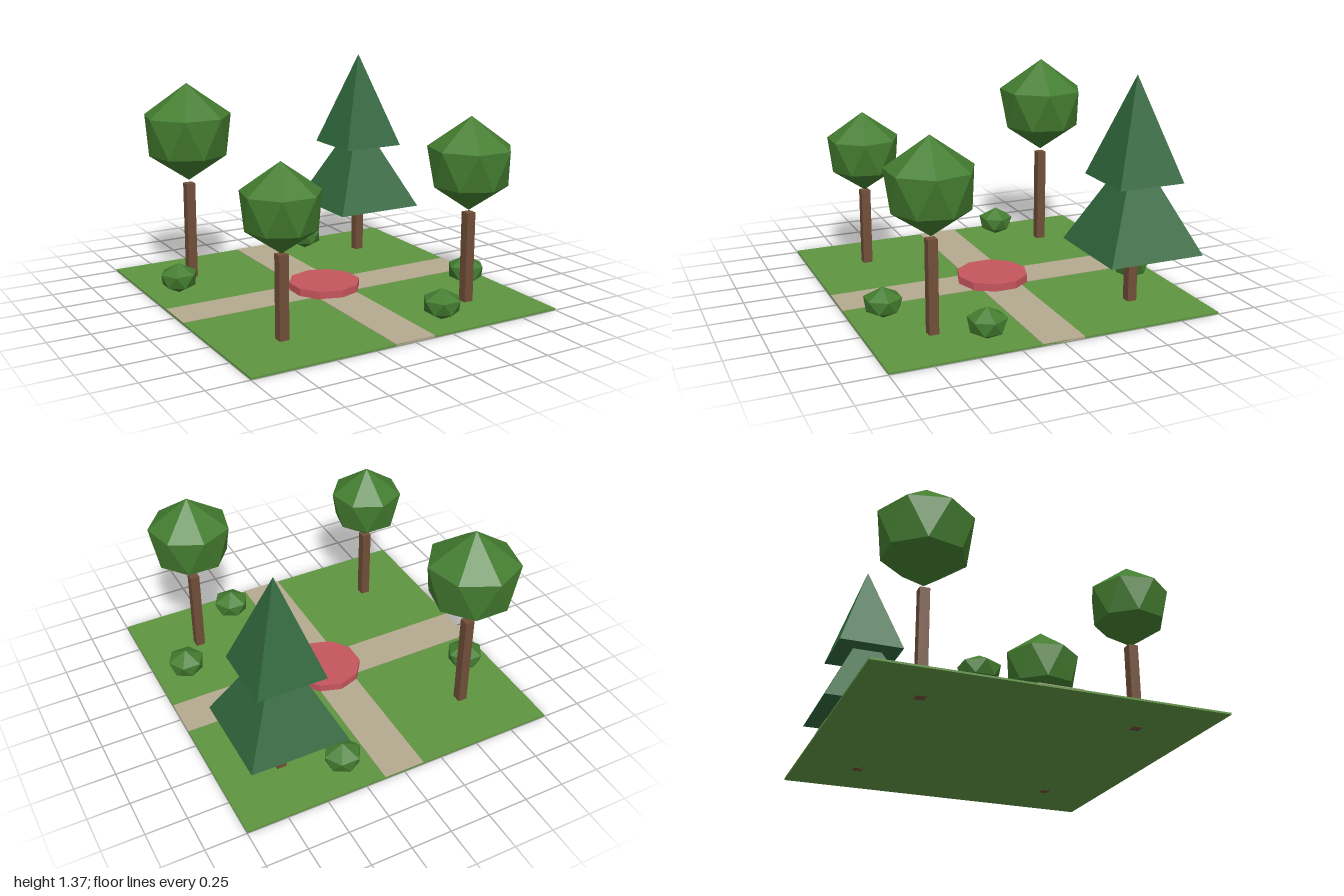
import * as THREE from 'three';

const mat = (name, color) => {
  const m = new THREE.MeshStandardMaterial({ color, flatShading: true });
  m.name = name;
  return m;
};

// Faceted crown: top point, wide ring, narrower half-turned ring, bottom point
function crownGeometry(sides, radius, bottom, top, start) {
  const h = top - bottom;
  const yUp = bottom + h * 0.673, yLow = bottom + h * 0.273;
  const step = (Math.PI * 2) / sides;
  const ring = (i, r, y) => {
    const a = start + i * step;
    return [Math.cos(a) * r, y, Math.sin(a) * r];
  };
  const pos = [];
  for (let i = 0; i < sides; i++) {
    const u0 = ring(i, radius, yUp), u1 = ring(i + 1, radius, yUp);
    const l0 = ring(i + 0.5, radius * 0.885, yLow), l1 = ring(i + 1.5, radius * 0.885, yLow);
    pos.push(0, top, 0, ...u1, ...u0);
    pos.push(...u0, ...u1, ...l0);
    pos.push(...u1, ...l1, ...l0);
    pos.push(0, bottom, 0, ...l0, ...l1);
  }
  const g = new THREE.BufferGeometry();
  g.setAttribute('position', new THREE.Float32BufferAttribute(pos, 3));
  g.computeVertexNormals();
  return g;
}

export function createModel() {
  const model = new THREE.Group();
  model.name = 'parkSquare';

  const grass = mat('grass', 0x5f9440);
  const gravel = mat('gravel', 0xb5a98f);
  const clay = mat('clay', 0xc5555d);
  const bark = mat('bark', 0x714e38);
  const leaf = mat('leaf', 0x447d30);
  const needle = mat('needle', 0x30673c);

  const add = (parent, name, geo, material, x = 0, y = 0, z = 0) => {
    const m = new THREE.Mesh(geo, material);
    m.name = name;
    m.position.set(x, y, z);
    parent.add(m);
    return m;
  };
  const group = (name, x, z) => {
    const g = new THREE.Group();
    g.name = name;
    g.position.set(x, 0, z);
    model.add(g);
    return g;
  };
  // Box standing between two heights
  const slab = (parent, name, w, d, y0, y1, material) =>
    add(parent, name, new THREE.BoxGeometry(w, y1 - y0, d), material, 0, (y0 + y1) / 2, 0);

  // Lawn and crossing paths
  slab(model, 'lawn', 2, 2, 0.001, 0.012, grass);
  slab(model, 'pathFrontToBack', 0.256, 2, 0.002, 0.016, gravel);
  slab(model, 'pathSideToSide', 2, 0.256, 0.002, 0.0155, gravel);

  // Ten-sided central bed
  add(model, 'centralBed', new THREE.CylinderGeometry(0.222, 0.222, 0.05, 10), clay, 0, 0.037, 0);

  // Round trees: x, z, trunk top, crown radius, crown bottom, crown top
  const trees = [
    [-0.625, 0.625, 0.5, 0.229, 0.502, 1.01],
    [0.625, 0.625, 0.565, 0.254, 0.577, 1.14],
    [-0.625, -0.625, 0.63, 0.277, 0.65, 1.265],
  ];
  for (const [x, z, trunkTop, r, bottom, top] of trees) {
    const tree = group('roundTree', x, z);
    slab(tree, 'trunk', 0.058, 0.058, 0, trunkTop, bark);
    add(tree, 'crown', crownGeometry(7, r, bottom, top, -Math.PI / 2), leaf);
  }

  // Pine with two square tiers: half width, bottom, top
  const pine = group('pineTree', 0.625, -0.625);
  slab(pine, 'trunk', 0.058, 0.058, 0, 0.4, bark);
  for (const [half, y0, y1] of [[0.298, 0.345, 0.955], [0.208, 0.762, 1.37]]) {
    const geo = new THREE.ConeGeometry(half * Math.SQRT2, y1 - y0, 4).rotateY(Math.PI / 4);
    add(pine, 'pineTier', geo, needle, 0, (y0 + y1) / 2, 0);
  }

  // Low bushes
  for (const [x, z] of [[0.31, 0.81], [0.81, 0.375], [-0.815, -0.375], [0.31, -0.81]]) {
    add(model, 'bush', crownGeometry(6, 0.114, 0.012, 0.2, 0), leaf, x, 0, z);
  }

  return model;
}
